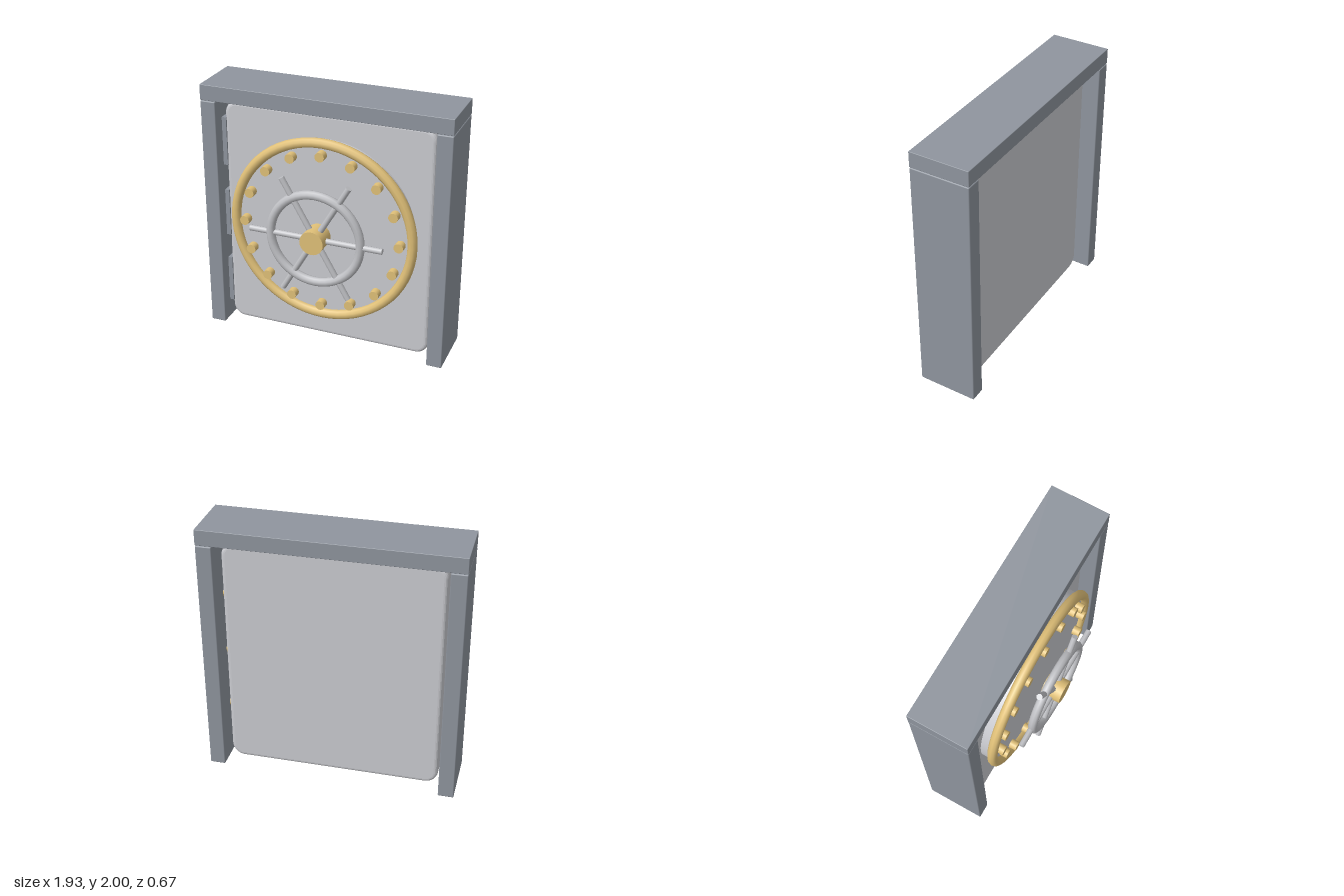
import * as THREE from 'three';
import { RoundedBoxGeometry } from 'three/addons/geometries/RoundedBoxGeometry.js';

const paint = (color) => new THREE.MeshStandardMaterial({ color });

export function createModel() {
  const model = new THREE.Group();
  const frameMat = paint(0x8f959e);
  const doorMat = paint(0xcacbd0);
  const steelMat = paint(0xc0c1c5);
  const brassMat = paint(0xe0c078);

  const add = (parent, name, geometry, material, x = 0, y = 0, z = 0) => {
    const mesh = new THREE.Mesh(geometry, material);
    mesh.name = name;
    mesh.position.set(x, y, z);
    parent.add(mesh);
    return mesh;
  };
  // Cylinder lying along z
  const zCylinder = (radius, length, sides) =>
    new THREE.CylinderGeometry(radius, radius, length, sides).rotateX(Math.PI / 2);

  // Frame: two posts and a lintel
  const frame = new THREE.Group();
  frame.name = 'frame';
  model.add(frame);
  const frameZ = -0.105, frameDepth = 0.458;
  for (const [side, label] of [[1, 'left'], [-1, 'right']]) {
    add(frame, label + 'Post', new RoundedBoxGeometry(0.12, 1.875, frameDepth, 2, 0.008),
      frameMat, side * 0.905, 0.9375, frameZ);
  }
  add(frame, 'lintel', new RoundedBoxGeometry(1.93, 0.12, frameDepth, 2, 0.004),
    frameMat, 0, 1.94, frameZ);

  // Door slab with rounded corners and softened edges, set back in the frame
  const bevel = 0.03, halfW = 0.82 - bevel, halfH = 0.922 - bevel, r = 0.07;
  const outline = new THREE.Shape();
  outline.absarc(halfW - r, halfH - r, r, 0, Math.PI / 2);
  outline.absarc(-halfW + r, halfH - r, r, Math.PI / 2, Math.PI);
  outline.absarc(-halfW + r, -halfH + r, r, Math.PI, Math.PI * 1.5);
  outline.absarc(halfW - r, -halfH + r, r, Math.PI * 1.5, Math.PI * 2);
  outline.closePath();
  const doorFront = 0.02, doorBack = -0.22;
  const slab = new THREE.ExtrudeGeometry(outline, {
    depth: doorFront - doorBack - 2 * bevel,
    bevelThickness: bevel, bevelSize: bevel, bevelSegments: 4, curveSegments: 8,
  });
  add(model, 'door', slab, doorMat, 0, 0.94, doorBack + bevel);

  // Hinges on the right edge, locking bolts on the left edge
  for (const y of [0.35, 0.94, 1.535]) {
    add(model, 'hinge', new THREE.BoxGeometry(0.06, 0.385, 0.08), frameMat, -0.84, y, -0.015);
  }
  for (const y of [0.46, 0.94, 1.42]) {
    add(model, 'lockingBolt', new THREE.CylinderGeometry(0.045, 0.045, 0.16, 16).rotateZ(Math.PI / 2),
      brassMat, 0.82, y, -0.1);
  }

  // Raised round plate with a brass ring and studs
  const centreY = 0.977, plateFront = 0.115;
  add(model, 'doorPlate', zCylinder(0.7, plateFront - doorFront + 0.02, 64), doorMat,
    0, centreY, (plateFront + doorFront - 0.02) / 2);
  add(model, 'doorRing', new THREE.TorusGeometry(0.703, 0.038, 10, 64), brassMat, 0, centreY, 0.12);
  for (let i = 0; i < 16; i++) {
    const a = (i / 16) * Math.PI * 2;
    add(model, 'stud', zCylinder(0.037, 0.07, 16), brassMat,
      Math.cos(a) * 0.613, centreY + Math.sin(a) * 0.613, 0.14);
  }

  // Hand wheel: rim, three through rods and a hub
  const wheel = new THREE.Group();
  wheel.name = 'handWheel';
  wheel.position.set(0, centreY, 0.26);
  model.add(wheel);
  add(wheel, 'wheelRim', new THREE.TorusGeometry(0.353, 0.034, 10, 48), steelMat);
  for (let i = 0; i < 3; i++) {
    const rod = add(wheel, 'spokeRod', new THREE.CylinderGeometry(0.023, 0.023, 1.044, 8), steelMat);
    rod.rotation.z = Math.PI / 2 + (i * Math.PI) / 3;
  }
  add(wheel, 'hub', zCylinder(0.092, 0.155, 24), brassMat);

  return model;
}
